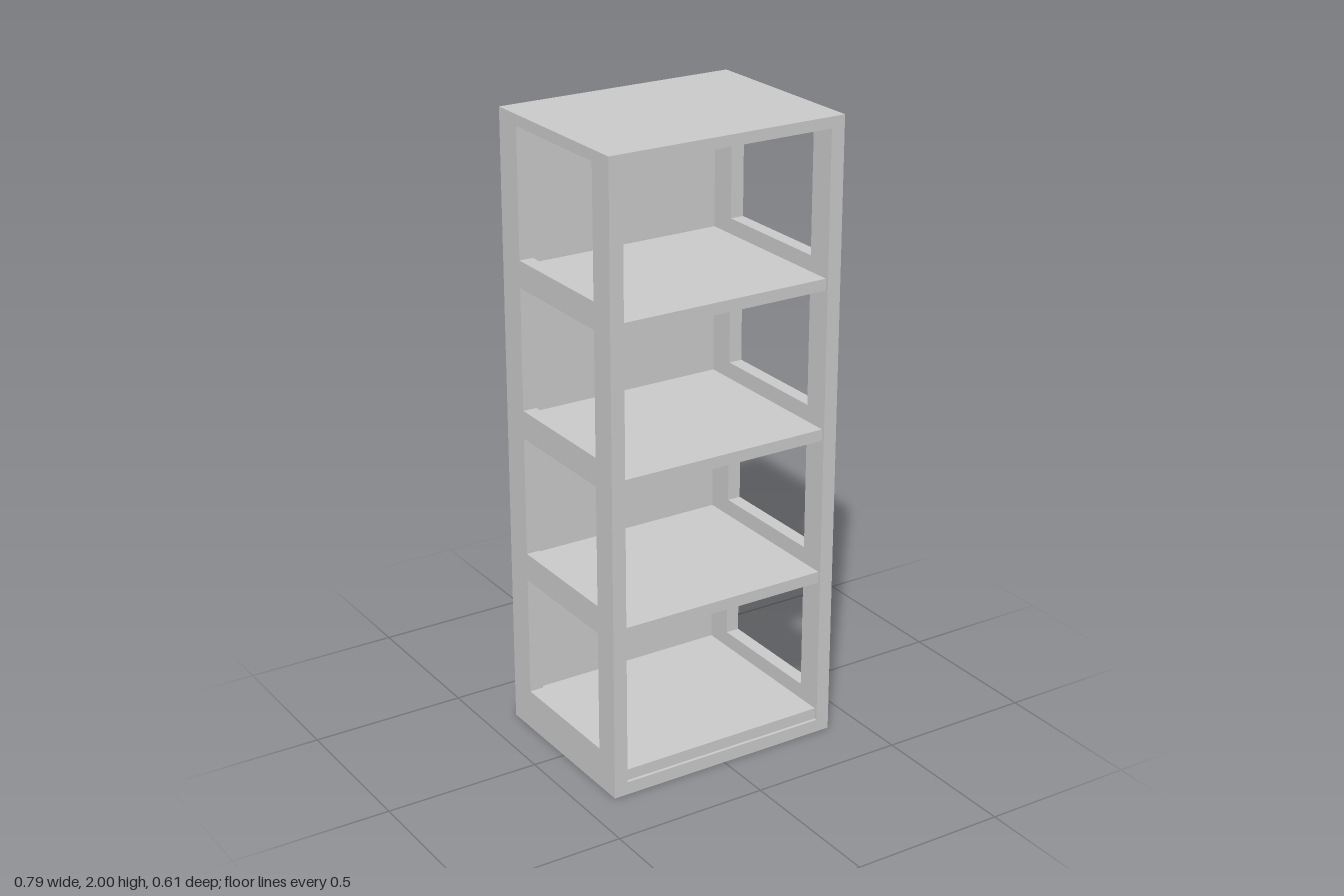
import * as THREE from 'three';

const material = new THREE.MeshStandardMaterial({ color: 0xcccccc });
const BACK = -0.304, FRONT = 0.303, HALF = 0.395, WALL = 0.045, HEIGHT = 2;

// Box given by its lower and upper corners
function box(name, [x0, y0, z0], [x1, y1, z1]) {
  const mesh = new THREE.Mesh(new THREE.BoxGeometry(x1 - x0, y1 - y0, z1 - z0), material);
  mesh.position.set((x0 + x1) / 2, (y0 + y1) / 2, (z0 + z1) / 2);
  mesh.name = name;
  return mesh;
}

// Rectangle outline, used for the side panel and its openings
function rectangle(target, u0, v0, u1, v1) {
  target.moveTo(u0, v0);
  target.lineTo(u1, v0);
  target.lineTo(u1, v1);
  target.lineTo(u0, v1);
  target.closePath();
  return target;
}

export function createModel() {
  const group = new THREE.Group();
  group.name = 'openShelfUnit';
  const inner = HALF - WALL;

  // Side frames: a panel with four window openings (shape u = -z, v = y)
  const outline = rectangle(new THREE.Shape(), -FRONT, 0, -BACK, HEIGHT);
  for (const [low, high] of [[0.13, 0.52], [0.61, 0.995], [1.085, 1.475], [1.56, 1.965]]) {
    outline.holes.push(rectangle(new THREE.Path(), -0.215, low, 0.205, high));
  }
  const sideGeometry = new THREE.ExtrudeGeometry(outline, { depth: WALL, bevelEnabled: false });
  sideGeometry.rotateY(Math.PI / 2);
  for (const [name, x] of [['leftSideFrame', inner], ['rightSideFrame', -HALF]]) {
    const side = new THREE.Mesh(sideGeometry, material);
    side.position.x = x;
    side.name = name;
    group.add(side);
  }

  // Top, base and thin back panel between the side frames
  group.add(
    box('topPanel', [-inner, 1.965, BACK], [inner, HEIGHT, FRONT]),
    box('basePlinth', [-inner, 0, BACK], [inner, 0.042, FRONT]),
    box('backPanel', [-inner, 0.042, BACK], [inner, 1.965, BACK + 0.008])
  );

  // Shelves, set back slightly from the front edge
  [0.042, 0.52, 0.995, 1.473].forEach((y, i) => {
    group.add(box(`shelf${i + 1}`, [-inner, y, BACK + 0.008], [inner, y + 0.037, FRONT - 0.01]));
  });

  return group;
}
